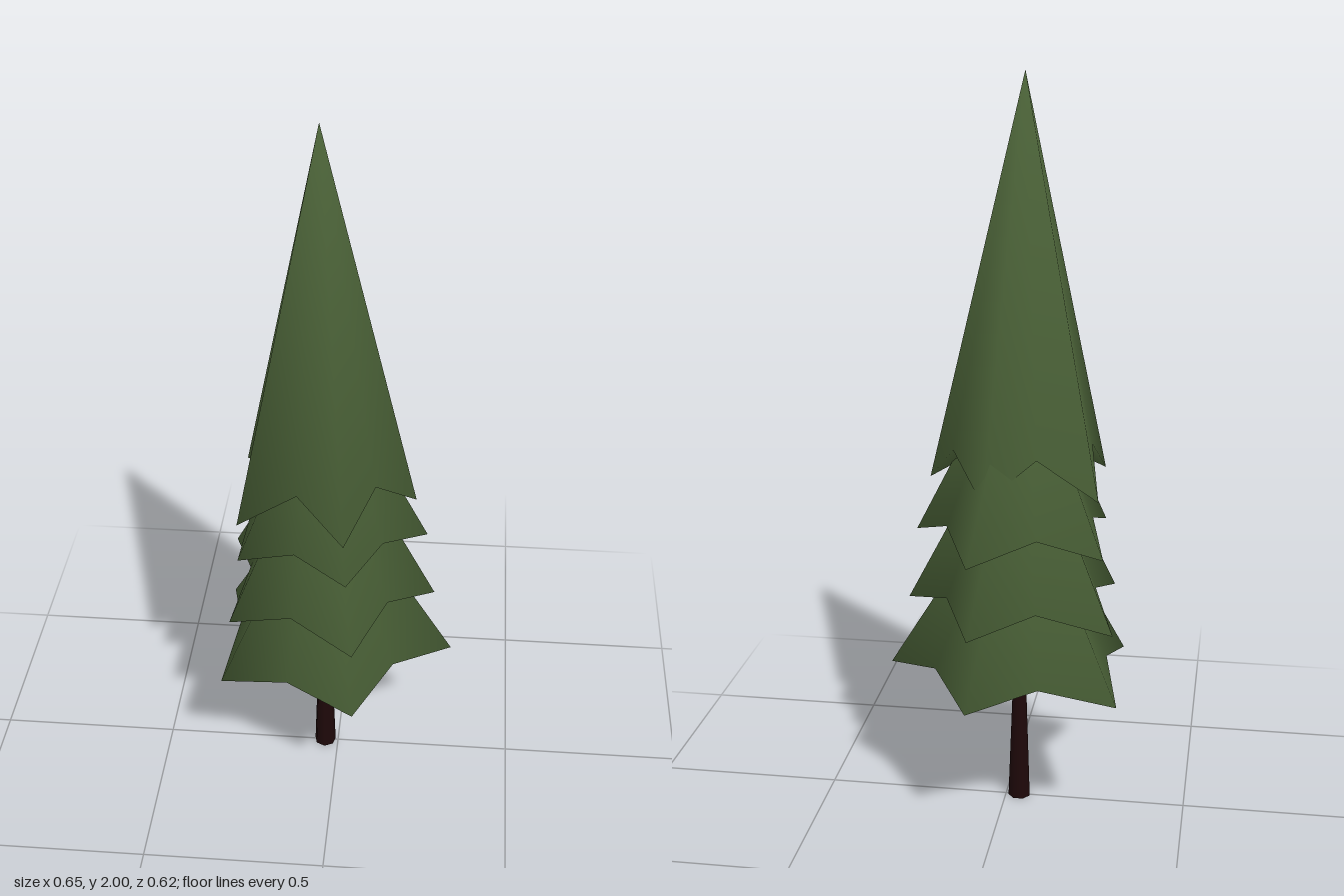
import * as THREE from 'three';

const foliage = new THREE.MeshStandardMaterial({ color: 0x4a6137 });
foliage.name = 'pine green';
const bark = new THREE.MeshStandardMaterial({ color: 0x1e0809 });
bark.name = 'dark bark';

// Star-edged cone with a hollowed underside. The rim alternates low tips and
// raised notches, each [x, z], running from +x towards +z.
function makeTier(name, apex, hollowY, tipY, notchY, rim) {
  const n = rim.length;
  const positions = rim.flatMap(([x, z], i) => [x, i % 2 ? notchY : tipY, z]);
  positions.push(...apex, -0.037, hollowY, 0);
  const index = [];
  for (let i = 0; i < n; i++) {
    const next = (i + 1) % n;
    index.push(i, n, next); // outer slope
    index.push(i, next, n + 1); // underside
  }
  const geometry = new THREE.BufferGeometry();
  geometry.setAttribute('position', new THREE.Float32BufferAttribute(positions, 3));
  geometry.setIndex(index);
  geometry.computeVertexNormals();
  const mesh = new THREE.Mesh(geometry, foliage);
  mesh.name = name;
  return mesh;
}

export function createModel() {
  const tree = new THREE.Group();
  tree.name = 'pineTree';

  // Tapered trunk
  const trunk = new THREE.Mesh(new THREE.CylinderGeometry(0.01, 0.031, 0.6, 7), bark);
  trunk.name = 'trunk';
  trunk.position.set(-0.038, 0.3, 0);
  tree.add(trunk);

  // Branch skirts, bottom to top
  tree.add(
    makeTier('lowestBranches', [-0.037, 0.97, 0], 0.53, 0.385, 0.44, [
      [0.323, 0], [0.165, 0.15], [0.063, 0.311], [-0.12, 0.25], [-0.31, 0.197],
      [-0.278, 0], [-0.324, -0.21], [-0.12, -0.253], [0.063, -0.313], [0.17, -0.153],
    ]),
    makeTier('lowerBranches', [-0.037, 1.17, 0], 0.73, 0.583, 0.638, [
      [0.27, 0], [0.145, 0.125], [0.06, 0.295], [-0.11, 0.215], [-0.283, 0.178],
      [-0.245, 0], [-0.31, -0.2], [-0.11, -0.222], [0.06, -0.297], [0.14, -0.135],
    ]),
    makeTier('middleBranches', [-0.037, 1.34, 0.02], 0.93, 0.783, 0.838, [
      [0.245, 0], [0.13, 0.125], [0.04, 0.25], [-0.1, 0.195], [-0.256, 0.16],
      [-0.235, 0], [-0.28, -0.18], [-0.11, -0.213], [0.06, -0.295], [0.14, -0.125],
    ]),
    makeTier('crown', [-0.037, 2, 0.08], 1.08, 0.922, 1.033, [
      [0.213, 0.035], [0.11, 0.145], [0.035, 0.264], [-0.09, 0.203], [-0.25, 0.19],
      [-0.226, 0.04], [-0.26, -0.125], [-0.1, -0.142], [0.035, -0.185], [0.13, -0.075],
    ]),
  );
  return tree;
}
